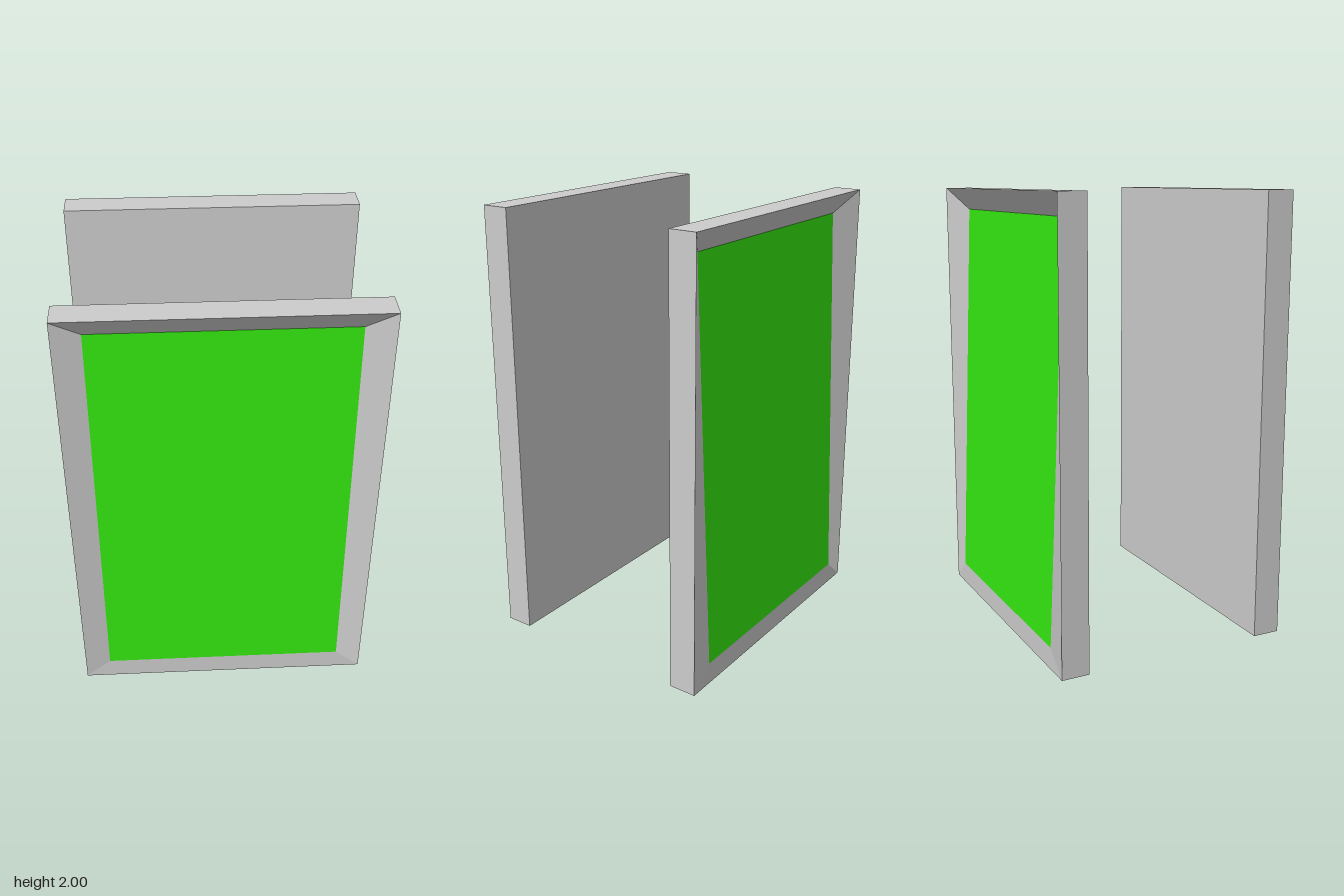
import * as THREE from 'three';

const W = 0.665, H = 2, FRONT = 0.545, BACK = 0.418; // panel half width, height, faces
const SW = 0.55, S0 = 0.1, S1 = 1.9, DEPTH = 0.075;  // screen half width, bottom, top, recess at the top

// Four-cornered faces (counter-clockwise), each shaded with one normal
function quads(faces) {
  const pos = [], nor = [];
  for (const face of faces) {
    const [a, b, c, d] = face.map(p => new THREE.Vector3(...p));
    const n = c.clone().sub(a).cross(d.clone().sub(b)).normalize();
    for (const p of [a, b, c, a, c, d]) {
      pos.push(p.x, p.y, p.z);
      nor.push(n.x, n.y, n.z);
    }
  }
  const g = new THREE.BufferGeometry();
  g.setAttribute('position', new THREE.Float32BufferAttribute(pos, 3));
  g.setAttribute('normal', new THREE.Float32BufferAttribute(nor, 3));
  return g;
}

// Rectangle corners: bottom left, bottom right, top right, top left
const rect = (w, y0, y1, z0, z1) => [[-w, y0, z0], [w, y0, z0], [w, y1, z1], [-w, y1, z1]];

function panel(name) {
  const grey = new THREE.MeshStandardMaterial({ color: 0xcccccc });
  const green = new THREE.MeshStandardMaterial({ color: 0x33e510 });
  const outer = rect(W, 0, H, FRONT, FRONT);
  const rear = rect(W, 0, H, BACK, BACK);
  const inner = rect(SW, S0, S1, FRONT, FRONT - DEPTH);

  const casingFaces = [[...rear].reverse()];
  const bezelFaces = [];
  for (let i = 0; i < 4; i++) {
    const j = (i + 1) % 4;
    casingFaces.push([rear[i], rear[j], outer[j], outer[i]]);
    // start the side faces so both sides split alike
    bezelFaces.push(i === 3
      ? [outer[j], inner[j], inner[i], outer[i]]
      : [outer[i], outer[j], inner[j], inner[i]]);
  }

  const group = new THREE.Group();
  group.name = name;
  // Outer box, sloped frame around the screen, and the tilted screen
  for (const [part, faces, mat] of [
    ['casing', casingFaces, grey],
    ['bezel', bezelFaces, grey],
    ['screen', [inner], green],
  ]) {
    const mesh = new THREE.Mesh(quads(faces), mat);
    mesh.name = part;
    group.add(mesh);
  }
  return group;
}

export function createModel() {
  const model = new THREE.Group();
  model.name = 'screenPair';
  const front = panel('frontPanel');
  const back = panel('backPanel');
  back.rotation.y = Math.PI; // faces the other way
  model.add(front, back);
  return model;
}
